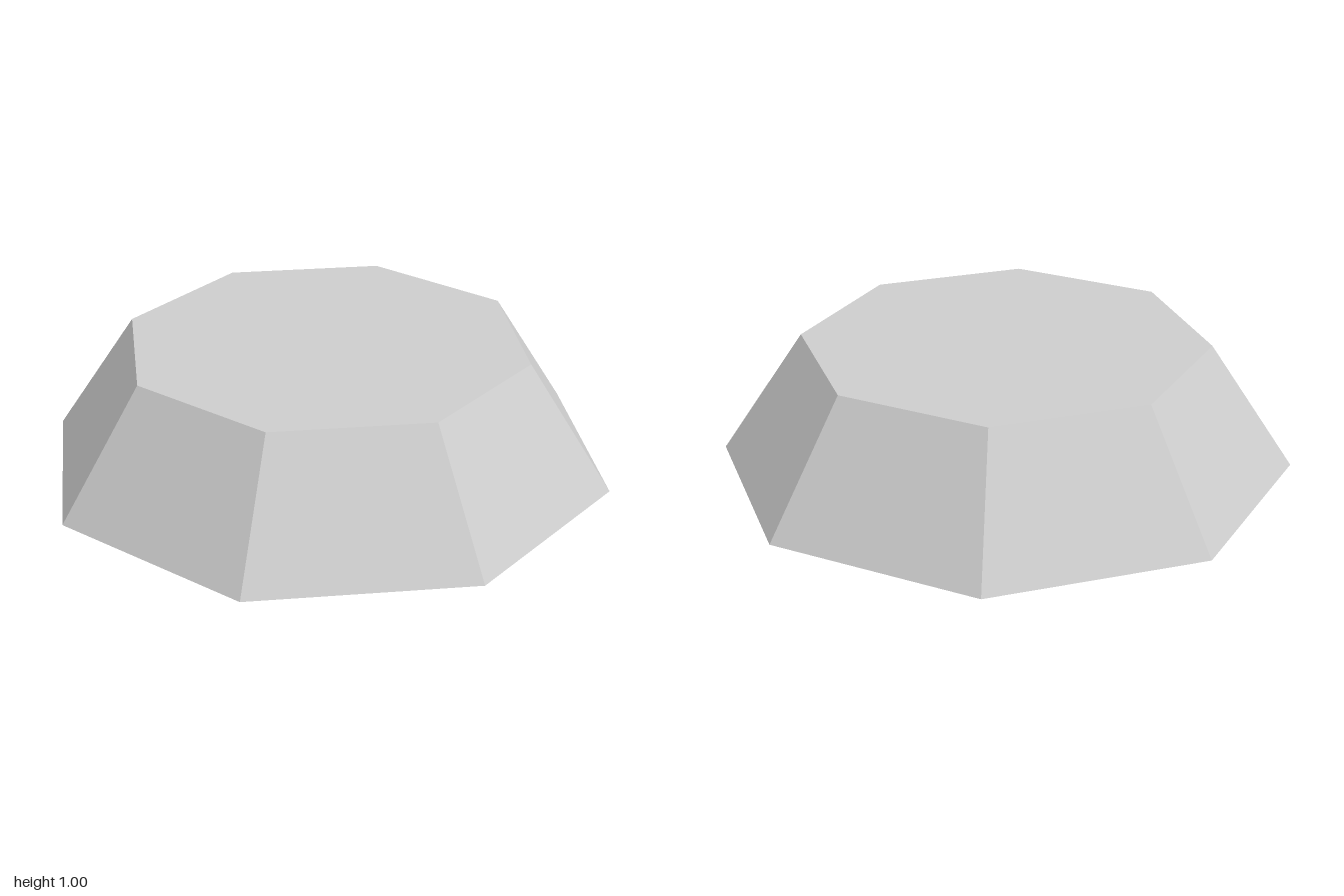
import * as THREE from 'three';

const SIDES = 8;
const GIRDLE_Y = 0.56;
const TOP_Y = 1;
const GIRDLE_RADIUS = 1;
const TABLE_RADIUS = 0.707;

export function createModel() {
  const gem = new THREE.Group();
  gem.name = 'gem';

  const stone = new THREE.MeshStandardMaterial({ color: 0xcccccc });
  stone.name = 'pale grey stone';

  function addPart(name, geometry, y) {
    const mesh = new THREE.Mesh(geometry, stone);
    mesh.name = name;
    mesh.position.y = y;
    gem.add(mesh);
  }

  // Crown: ring of flat sloping facets
  const crownHeight = TOP_Y - GIRDLE_Y;
  const crown = new THREE.CylinderGeometry(
    TABLE_RADIUS, GIRDLE_RADIUS, crownHeight, SIDES, 1, true).toNonIndexed();
  crown.computeVertexNormals();
  addPart('crown', crown, GIRDLE_Y + crownHeight / 2);

  // Table: flat octagon on top
  const table = new THREE.CircleGeometry(TABLE_RADIUS, SIDES).rotateX(-Math.PI / 2);
  addPart('table', table, TOP_Y);

  // Pavilion: smooth-shaded cone pointing down
  const pavilion = new THREE.ConeGeometry(
    GIRDLE_RADIUS, GIRDLE_Y, SIDES, 1, true).rotateX(Math.PI);
  addPart('pavilion', pavilion, GIRDLE_Y / 2);

  return gem;
}
